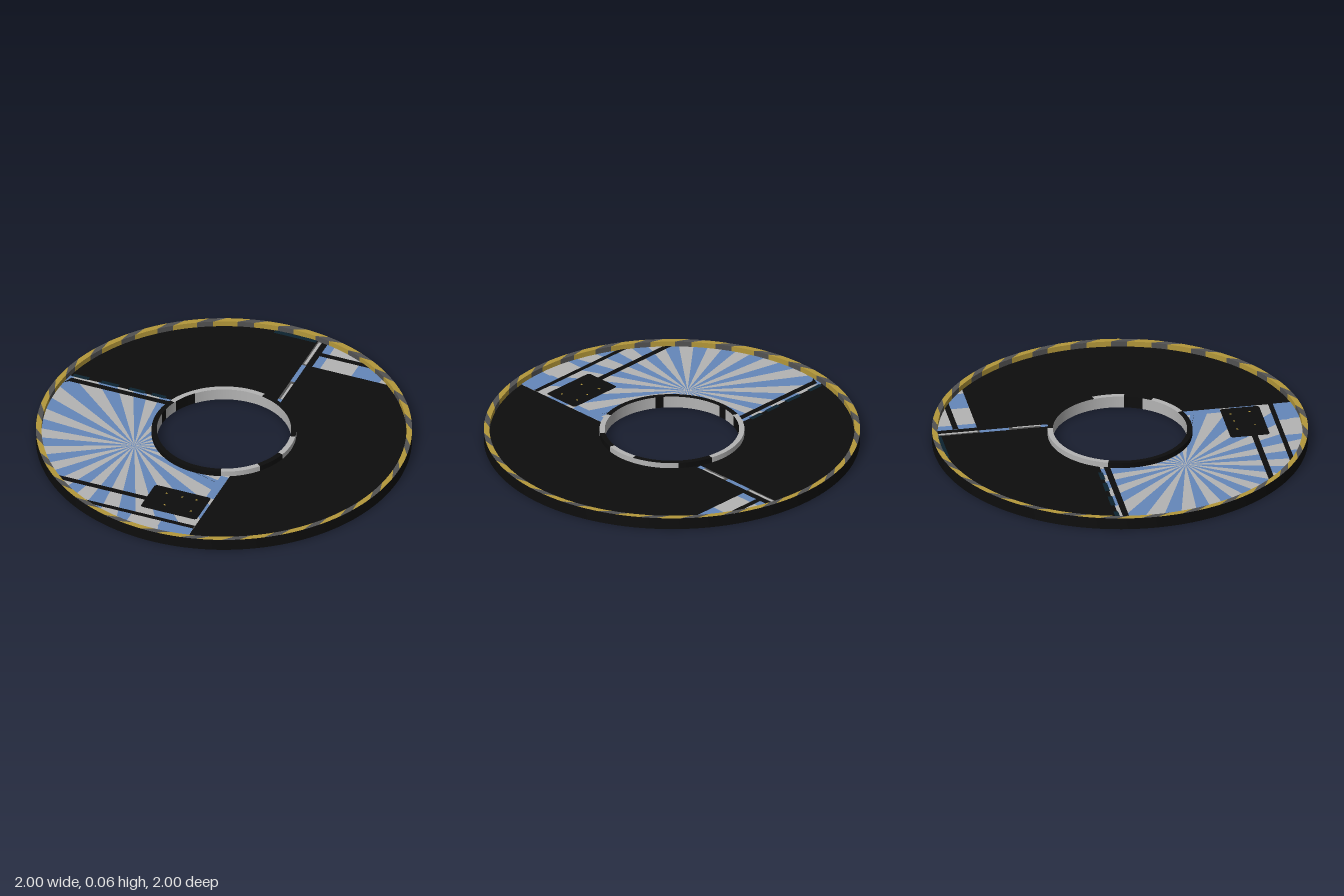
import * as THREE from 'three';
import { toCreasedNormals } from 'three/addons/utils/BufferGeometryUtils.js';

const H = 0.065, MID = H / 2, R = 0.97, HOLE = 0.357, COLLAR = 0.385;
const DEG = Math.PI / 180;

export function createModel() {
  const group = new THREE.Group();
  const mat = (name, color) => {
    const m = new THREE.MeshStandardMaterial({ color });
    m.name = name;
    return m;
  };
  const black = mat('black', 0x0d0d0d);
  const grey = mat('light grey', 0xb4b4b4);
  const blue = mat('blue', 0x6587ba);
  const yellow = mat('yellow', 0xb3973a);
  const dark = mat('dark grey', 0x525252);
  const navy = mat('navy', 0x0c2230);

  // Adds a triangle, turned so that it faces along n
  const tri = (out, a, b, c, n) => {
    const [A, B, C] = [a, b, c].map((p) => new THREE.Vector3(...p));
    const d = B.clone().sub(A).cross(C.clone().sub(A));
    const order = d.dot(n) < 0 ? [a, c, b] : [a, b, c];
    order.forEach((p) => out.push(...p));
  };
  const addMesh = (name, material, pos) => {
    const g = new THREE.BufferGeometry();
    g.setAttribute('position', new THREE.Float32BufferAttribute(pos, 3));
    g.computeVertexNormals();
    const m = new THREE.Mesh(toCreasedNormals(g, 0.5), material);
    m.name = name;
    group.add(m);
  };

  // Flat painted polygons, on the upper and lower face of the web
  const paint = (name, material, polys, layer) => {
    const pos = [];
    for (const s of [1, -1]) {
      const y = MID + s * (0.002 + layer * 0.0012);
      const n = new THREE.Vector3(0, s, 0);
      for (const p of polys) {
        const v = p.map(([x, z]) => [x, y, z]);
        for (let i = 1; i < v.length - 1; i++) tri(pos, v[0], v[i], v[i + 1], n);
      }
    }
    addMesh(name, material, pos);
  };
  // Rectangle cut off by the outer rim
  const rect = (x0, x1, z0, z1) => {
    const out = [], n = 24;
    const clip = (x, z) => {
      const m = Math.sqrt(Math.max(0, R * R - x * x));
      return [x, THREE.MathUtils.clamp(z, -m, m)];
    };
    for (let i = 0; i < n; i++) {
      const a = x0 + ((x1 - x0) * i) / n, b = x0 + ((x1 - x0) * (i + 1)) / n;
      out.push([clip(a, z0), clip(b, z0), clip(b, z1), clip(a, z1)]);
    }
    return out;
  };

  // Surface swept around the axis between two [radius, y] points, with optional skew
  const sweep = (pos, p, q, a0, a1, nr, ny, skew = 0) => {
    const n = Math.max(1, Math.ceil((a1 - a0) / (2 * DEG)));
    const at = ([r, y], a) => [r * Math.cos(a), y, r * Math.sin(a)];
    for (let i = 0; i < n; i++) {
      const s = a0 + ((a1 - a0) * i) / n, t = a0 + ((a1 - a0) * (i + 1)) / n, m = (s + t) / 2;
      const normal = new THREE.Vector3(nr * Math.cos(m), ny, nr * Math.sin(m));
      const [A, B, C, D] = [at(p, s), at(p, t), at(q, t + skew), at(q, s + skew)];
      tri(pos, A, B, C, normal);
      tri(pos, A, C, D, normal);
    }
  };
  const TAU = 2 * Math.PI;

  // Web disc
  const web = [];
  for (const s of [1, -1]) sweep(web, [HOLE + 0.01, MID + s * 0.002], [0.99, MID + s * 0.002], 0, TAU, 0, s);
  addMesh('webDisc', black, web);

  // Outer rim: plain wall and underside
  const wall = [];
  sweep(wall, [1, 0], [1, H], 0, TAU, 1, 0);
  sweep(wall, [R, 0], [1, 0], 0, TAU, 0, -1);
  addMesh('outerRim', black, wall);

  // Slanted hazard stripes on the rim's lip and inner walls
  const stripes = { yellow: [], dark: [] }, count = 28, step = TAU / count, skew = 0.07;
  for (let i = 0; i < count; i++) {
    for (const [key, a, b] of [['yellow', 0, 0.6], ['dark', 0.6, 1]]) {
      const a0 = (i + a) * step, a1 = (i + b) * step, out = stripes[key];
      sweep(out, [R, H], [1, H], a0, a1, 0, 1, skew);
      sweep(out, [R, MID], [R, H], a0, a1, -1, 0);
      sweep(out, [R, 0], [R, MID], a0, a1, -1, 0);
    }
  }
  addMesh('rimYellowStripes', yellow, stripes.yellow);
  addMesh('rimDarkStripes', dark, stripes.dark);

  // Collar around the hole, in grey with black patches (angles in degrees from +x towards +z)
  const collar = { grey: [], black: [] };
  const patches = (p, q, nr, ny, list) => {
    let last = list[0][0];
    for (const [a, b] of [...list, [list[0][0] + 360, null]]) {
      if (a > last) sweep(collar.grey, p, q, last * DEG, a * DEG, nr, ny);
      if (b !== null) sweep(collar.black, p, q, a * DEG, b * DEG, nr, ny);
      last = b;
    }
  };
  const topPatches = [[-78, -12], [14, 38], [70, 200]];
  patches([HOLE, H], [COLLAR, H], 0, 1, topPatches);
  patches([COLLAR, MID], [COLLAR, H], 1, 0, [[-78, -50], [14, 38], [70, 200]]);
  patches([HOLE, 0], [HOLE, H], -1, 0, [[14, 30], [121, 128], [180, 188], [202, 222]]);
  patches([HOLE, 0], [COLLAR, 0], 0, -1, [[-60, -48], [100, 190]]);
  patches([COLLAR, 0], [COLLAR, MID], 1, 0, [[-60, -48], [100, 190]]);
  addMesh('collarGrey', grey, collar.grey);
  addMesh('collarBlack', black, collar.black);

  // Sunburst: rays from one centre, ending at the panel edges and passing behind the hole
  const cx = -0.4, cz = 0.28, rays = { blue: [], grey: [] }, sub = 12, pairs = 20;
  const spans = (a) => {
    const dx = Math.cos(a), dz = Math.sin(a), b = cx * dx + cz * dz, cc = cx * cx + cz * cz;
    let end = -b + Math.sqrt(b * b - cc + R * R);
    if (dx > 1e-6) end = Math.min(end, (0.175 - cx) / dx);
    if (dz < -1e-6) end = Math.min(end, (-0.175 - cz) / dz);
    const k = b * b - cc + 0.375 ** 2;
    if (k <= 0 || b > 0) return [[0, end], [end, end]];
    return [[0, Math.min(end, -b - Math.sqrt(k))], [Math.min(end, -b + Math.sqrt(k)), end]];
  };
  for (let i = 0; i < pairs * 2 * sub; i++) {
    const w = TAU / (pairs * 2 * sub), a0 = 85 * DEG + i * w + 1e-5, a1 = a0 + w;
    const out = Math.floor(i / sub) % 2 === 0 ? rays.blue : rays.grey;
    const at = (a, t) => [cx + t * Math.cos(a), cz + t * Math.sin(a)];
    const s0 = spans(a0), s1 = spans(a1);
    for (let j = 0; j < 2; j++) {
      if (s0[j][1] - s0[j][0] < 1e-4 && s1[j][1] - s1[j][0] < 1e-4) continue;
      out.push([at(a0, s0[j][0]), at(a0, s0[j][1]), at(a1, s1[j][1]), at(a1, s1[j][0])]);
    }
  }
  paint('sunburstBlue', blue, rays.blue, 1);
  paint('sunburstGrey', grey, rays.grey, 1);

  // Straight stripes beside the sunburst's lower edge
  paint('lowerBlueStripe', blue, [...rect(0, 0.175, 0.85, 0.97), ...rect(0.13, 0.175, 0.36, 0.57)], 2);
  paint('lowerGreyStripe', grey, rect(-0.18, -0.01, 0.85, 0.97), 2);

  // Black bars and label box over the sunburst
  paint('blackBars', black, [
    ...rect(-0.965, -0.35, -0.155, -0.122),
    ...rect(-0.69, -0.15, 0.683, 0.715),
    ...rect(-0.5, 0.175, 0.832, 0.858),
  ], 3);
  const box = [];
  for (const [x, z, q] of [[0.145, 0.765, 0], [-0.145, 0.765, 1], [-0.145, 0.585, 2], [0.145, 0.585, 3]])
    for (let i = 0; i <= 4; i++) {
      const a = (q + i / 4) * Math.PI / 2;
      box.push([x + 0.016 * Math.cos(a), z + 0.016 * Math.sin(a)]);
    }
  paint('labelBox', black, [box], 4);
  paint('labelSpecks', yellow, [
    [-0.08, 0.615], [0.01, 0.615], [0.09, 0.61], [-0.05, 0.715], [0.1, 0.715],
  ].flatMap(([x, z]) => rect(x, x + 0.01, z, z + 0.01)), 5);

  // Navy dashes along the sunburst's upper edge and near the rim
  const dashes = [[-0.94, -0.85], [-0.78, -0.68], [-0.62, -0.53], [-0.49, -0.41]];
  paint('navyDashes', navy, [
    ...dashes.flatMap(([a, b]) => rect(a, b, -0.195, -0.17)),
    ...rect(-0.1, 0.14, -0.965, -0.94),
  ], 2);

  // Narrow radial strip at the back
  const strip = (z0, z1) => rect(0.147, 0.172, z0, z1);
  paint('stripBlue', blue, [...strip(-0.73, -0.57), ...strip(-0.4, -0.36)], 1);
  paint('stripGrey', grey, [...rect(0.16, 0.172, -0.55, -0.4), ...rect(0.155, 0.17, -0.95, -0.74)], 2);
  paint('stripDark', dark, [...strip(-0.96, -0.73), ...strip(-0.57, -0.4)], 1);

  // Small striped panel at the back
  paint('backPanelGrey', grey, [...rect(0.25, 0.43, -0.96, -0.735), ...rect(0.43, 0.64, -0.96, -0.86),
    ...rect(0.59, 0.63, -0.835, -0.735)], 1);
  paint('backPanelBlue', blue, [...rect(0.205, 0.25, -0.96, -0.735), ...rect(0.43, 0.59, -0.84, -0.735)], 1);
  paint('backPanelBar', black, rect(0.205, 0.5, -0.865, -0.835), 3);

  return group;
}
